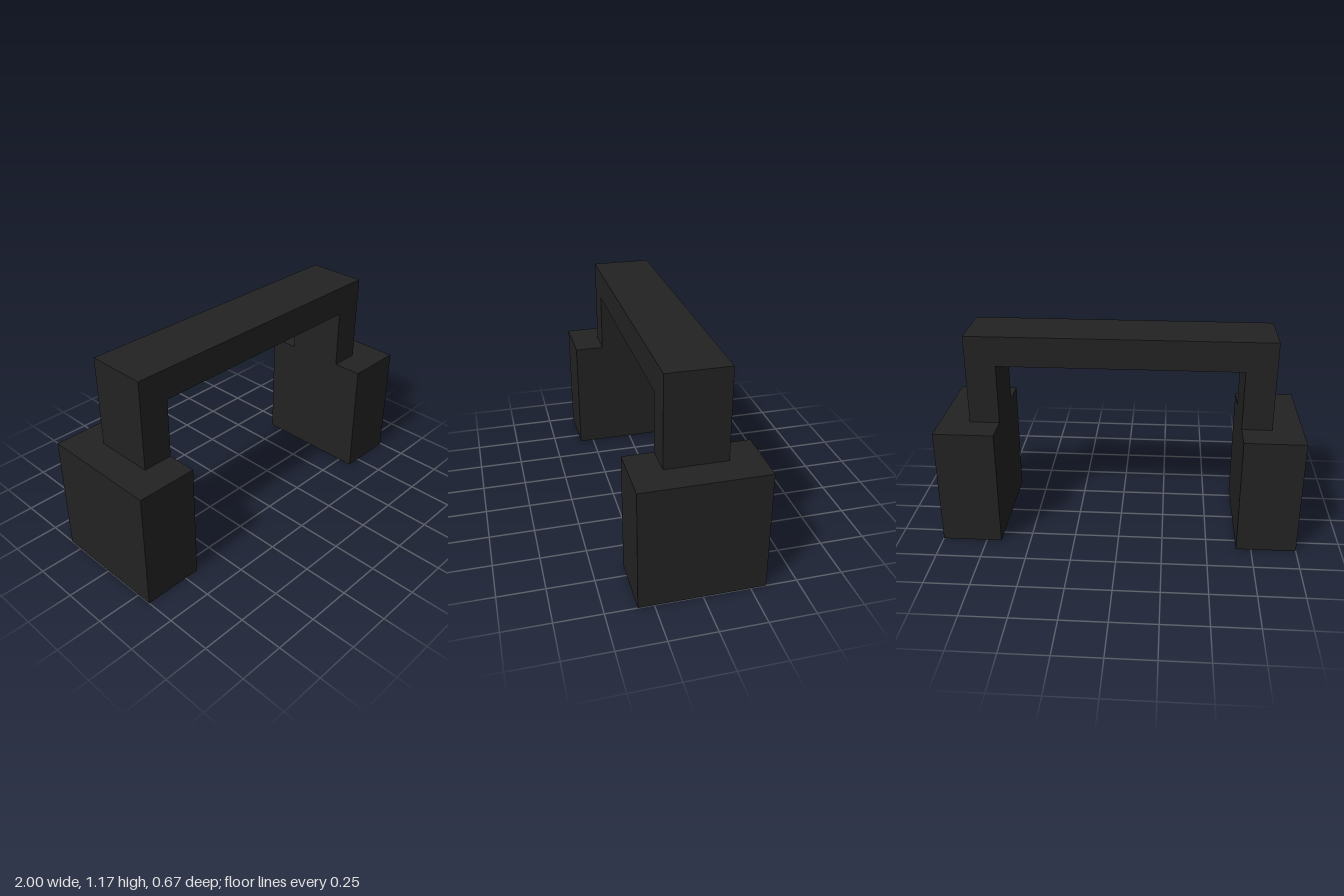
import * as THREE from 'three';

export function createModel() {
  const model = new THREE.Group();
  model.name = 'headphones';
  const charcoal = new THREE.MeshStandardMaterial({ color: 0x222222 });
  charcoal.name = 'charcoal';

  const unit = 1 / 6; // every size is a multiple of this

  // Headband: one square-cornered arch, extruded front to back
  const arch = new THREE.Shape([
    [-5, 4], [-4, 4], [-4, 6], [4, 6], [4, 4], [5, 4], [5, 7], [-5, 7],
  ].map(([x, y]) => new THREE.Vector2(x * unit, y * unit)));
  const bandGeometry = new THREE.ExtrudeGeometry(arch, { depth: 2 * unit, bevelEnabled: false });
  bandGeometry.translate(0, 0, -unit);
  const headband = new THREE.Mesh(bandGeometry, charcoal);
  headband.name = 'headband';
  model.add(headband);

  // Ear cups: a block under each end of the band
  const cupGeometry = new THREE.BoxGeometry(2 * unit, 4 * unit, 4 * unit);
  for (const [name, side] of [['leftEarCup', 1], ['rightEarCup', -1]]) {
    const cup = new THREE.Mesh(cupGeometry, charcoal);
    cup.name = name;
    cup.position.set(side * 5 * unit, 2 * unit, 0);
    model.add(cup);
  }

  return model;
}
